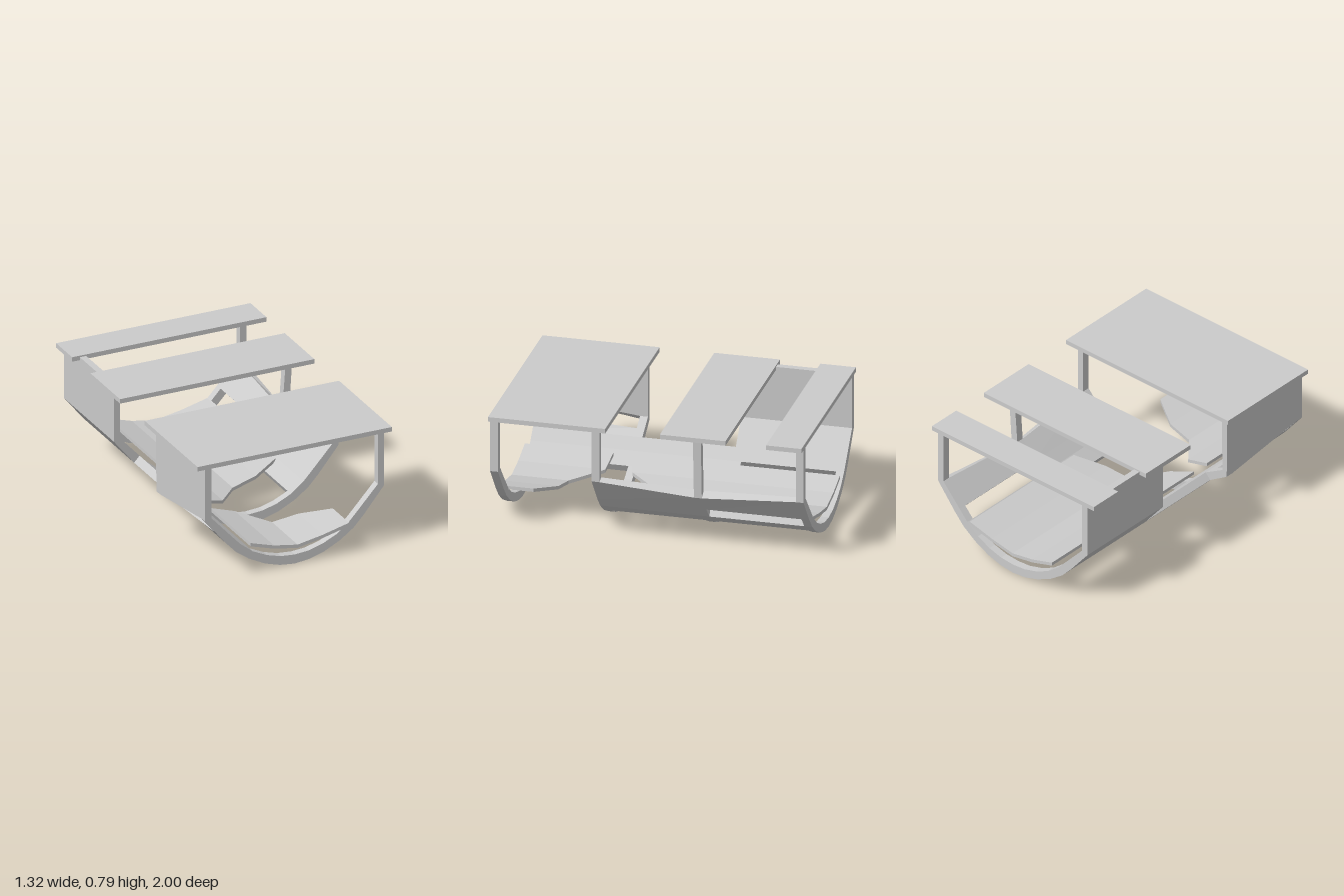
import * as THREE from 'three';

const material = new THREE.MeshStandardMaterial({ color: 0xcccccc, flatShading: true });

// Half profile of a rib from post top to keel: outer and inner edge points
const OUTER = [[0.608, 0.78], [0.608, 0.41], [0.47, 0.24], [0.4, 0.165], [0.31, 0.1], [0.2, 0.045], [0.1, 0.015], [0, 0.004]];
const INNER = [[0.565, 0.78], [0.565, 0.425], [0.433, 0.28], [0.37, 0.212], [0.285, 0.145], [0.19, 0.1], [0.095, 0.073], [0, 0.065]];
const LAST = 14; // stations run 0 (left-hand post top in x < 0) to 14 (post top in x > 0)
const DEPTH = 0.05;

// Mirror a half profile into a full one
function fullProfile(half) {
  const neg = half.map(([x, y]) => [-x, y]);
  const pos = half.slice(0, -1).reverse().map(([x, y]) => [x, y]);
  return [...neg, ...pos];
}

function makeRib(z) {
  return { z, outer: fullProfile(OUTER), inner: fullProfile(INNER) };
}

// Points of a profile between two (possibly fractional) stations, placed at z
function section(profile, t0, t1, z) {
  const at = (t) => {
    const i = Math.min(Math.floor(t), LAST - 1), f = t - i;
    const a = profile[i], b = profile[i + 1];
    return new THREE.Vector3(a[0] + (b[0] - a[0]) * f, a[1] + (b[1] - a[1]) * f, z);
  };
  const stations = [t0];
  for (let i = Math.floor(t0) + 1; i < t1; i++) stations.push(i);
  stations.push(t1);
  return stations.map(at);
}

// Closed thick strip between a front and a back cross-section
function slab(frontOuter, frontInner, backOuter, backInner) {
  const pos = [];
  const quad = (a, b, c, d) => [a, b, c, a, c, d].forEach((p) => pos.push(p.x, p.y, p.z));
  const front = [...frontOuter, ...[...frontInner].reverse()];
  const back = [...backOuter, ...[...backInner].reverse()];
  const n = front.length;
  for (let i = 0; i < n; i++) {
    const j = (i + 1) % n;
    quad(front[i], back[i], back[j], front[j]);
  }
  for (let i = 0; i < frontOuter.length - 1; i++) {
    quad(frontOuter[i], frontOuter[i + 1], frontInner[i + 1], frontInner[i]);
    quad(backOuter[i], backInner[i], backInner[i + 1], backOuter[i + 1]);
  }
  const geometry = new THREE.BufferGeometry();
  geometry.setAttribute('position', new THREE.Float32BufferAttribute(pos, 3));
  geometry.computeVertexNormals();
  return geometry;
}

export function createModel() {
  const group = new THREE.Group();
  const add = (name, geometry) => {
    const mesh = new THREE.Mesh(geometry, material);
    mesh.name = name;
    group.add(mesh);
    return mesh;
  };

  // Four ribs, front to back, two of them with a bent corner
  const ribs = [0.955, 0.315, -0.325, -0.975].map(makeRib);
  ribs[1].outer[1] = [-0.605, 0.325];
  ribs[1].inner[1] = [-0.57, 0.36];
  ribs[2].outer[LAST - 1] = [0.582, 0.36];
  ribs[2].inner[LAST - 1] = [0.537, 0.393];

  const span = (a, zA, b, zB, t0, t1) => slab(
    section(a.outer, t0, t1, zA), section(a.inner, t0, t1, zA),
    section(b.outer, t0, t1, zB), section(b.inner, t0, t1, zB));

  ribs.forEach((r) => add('rib', span(r, r.z + DEPTH / 2, r, r.z - DEPTH / 2, 0, LAST)));

  // Side panels and hull plates: name, bay, side of x, station range
  const plates = [
    ['sidePanel', 0, -1, 0, 1],
    ['sidePanel', 2, -1, 0, 1],
    ['hullPlate', 0, -1, 1.59, 4],
    ['hullPlate', 1, -1, 2, 4],
    ['hullPlate', 2, -1, 1, 3],
    ['hullPlate', 1, 1, 1, 4],
    ['upperHullPlate', 2, 1, 1, 2],
    ['lowerHullPlate', 2, 1, 3, 4],
  ];
  for (const [name, bay, side, t0, t1] of plates) {
    const a = ribs[bay], b = ribs[bay + 1];
    const [s0, s1] = side < 0 ? [t0, t1] : [LAST - t1, LAST - t0];
    add(name, span(a, a.z - DEPTH / 2, b, b.z + DEPTH / 2, s0, s1));
  }

  // Deck boards: front z, back z
  for (const [zF, zB] of [[0.98, 0.24], [-0.105, -0.52], [-0.775, -1]]) {
    const deck = add('deck', new THREE.BoxGeometry(1.32, 0.03, zF - zB));
    deck.position.set(0, 0.775, (zF + zB) / 2);
  }

  // Shallow inner floor, broken into two pieces with ragged ends
  const floorBottom = [[-0.31, 0.192], [-0.15, 0.143], [0.01, 0.116], [0.18, 0.147], [0.36, 0.192]];
  const floorTop = floorBottom.map(([x, y]) => [x, y + 0.022]);
  const row = (points, zs) => points.map(([x, y], i) => new THREE.Vector3(x, y, zs[i]));
  const floor = (name, zF, zB) => add(name, slab(
    row(floorBottom, zF), row(floorTop, zF), row(floorBottom, zB), row(floorTop, zB)));
  floor('frontFloor', Array(5).fill(1), [0.44, 0.45, 0.64, 0.66, 0.77]);
  floor('rearFloor', [0.32, 0.28, 0.09, 0.06, -0.03], Array(5).fill(-0.99));

  return group;
}
